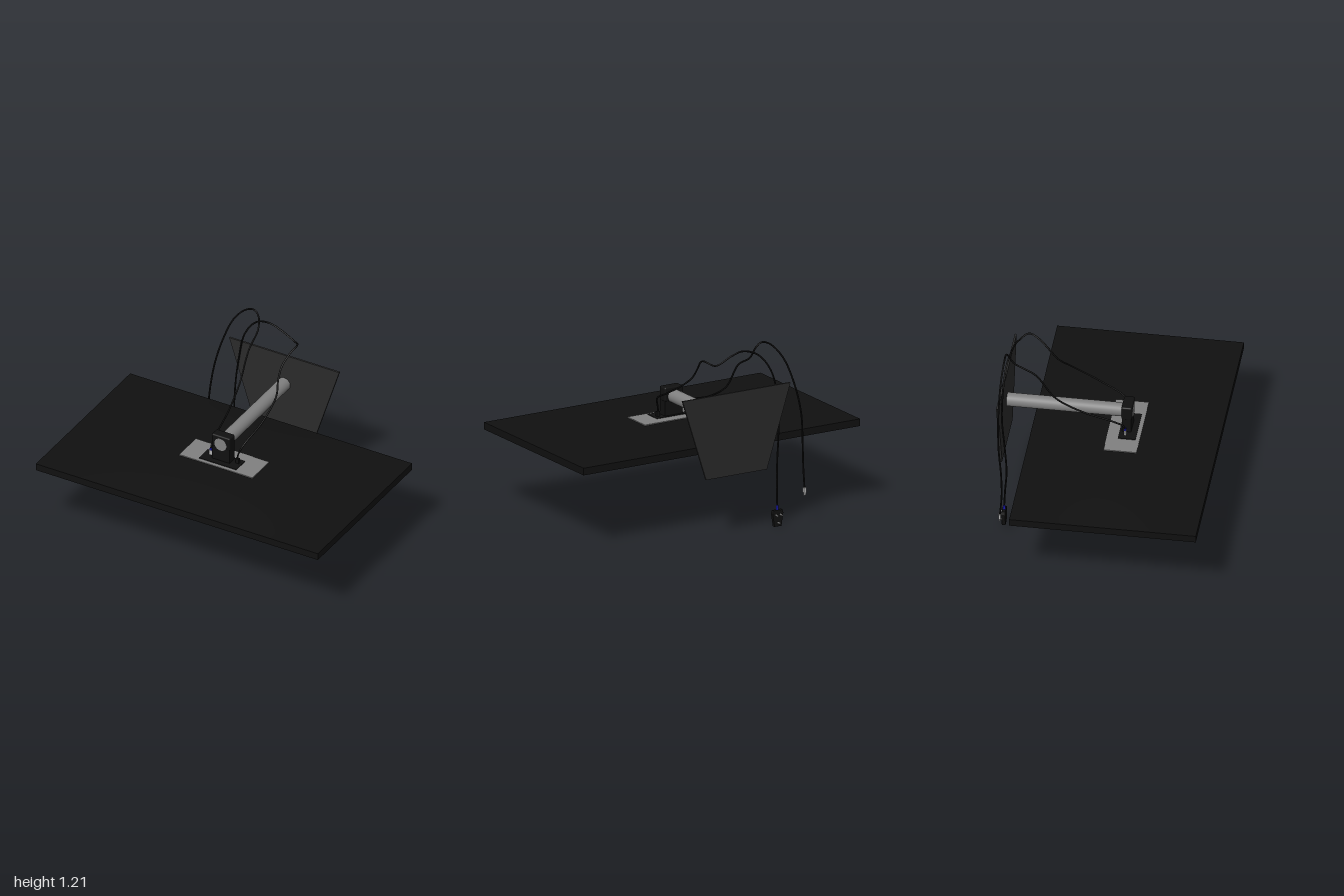
import * as THREE from 'three';
import { RoundedBoxGeometry } from 'three/addons/geometries/RoundedBoxGeometry.js';

const mat = (color) => new THREE.MeshStandardMaterial({ color });
const black = mat(0x101010), charcoal = mat(0x2a2a2a), grey = mat(0x808080);
const screenGrey = mat(0x777777), silver = mat(0xb5b5b5), blue = mat(0x1a1ab0);

export function createModel() {
  const model = new THREE.Group();

  const add = (name, geometry, material, x = 0, y = 0, z = 0, parent = model) => {
    const mesh = new THREE.Mesh(geometry, material);
    mesh.name = name;
    mesh.position.set(x, y, z);
    parent.add(mesh);
    return mesh;
  };
  const box = (name, material, w, h, d, x, y, z, parent) =>
    add(name, new THREE.BoxGeometry(w, h, d), material, x, y, z, parent);
  const rounded = (name, material, w, h, d, r, x, y, z, parent) =>
    add(name, new RoundedBoxGeometry(w, h, d, 3, r), material, x, y, z, parent);
  const rect = (path, x0, y0, x1, y1) => {
    path.moveTo(x0, y0);
    path.lineTo(x1, y0);
    path.lineTo(x1, y1);
    path.lineTo(x0, y1);
    path.closePath();
    return path;
  };

  // Display lying face down
  const display = new THREE.Group();
  display.name = 'display';
  model.add(display);
  const W = 2, D = 1.16, CZ = 0.085;

  // Housing with a gently domed back
  const housing = new THREE.BoxGeometry(W, 0.035, D, 32, 1, 20);
  const p = housing.attributes.position;
  for (let i = 0; i < p.count; i++) {
    if (p.getY(i) < 0) continue;
    const u = p.getX(i) / (W / 2), v = p.getZ(i) / (D / 2);
    p.setY(i, p.getY(i) + 0.036 * (1 - u * u) * (1 - v * v));
  }
  housing.computeVertexNormals();
  add('housing', housing, black, 0, 0.5285, CZ, display);

  // Frame around the recessed screen
  const frame = rect(new THREE.Shape(), -W / 2, -D / 2, W / 2, D / 2);
  frame.holes.push(rect(new THREE.Path(), -0.965, -0.545, 0.965, 0.545));
  const frameGeo = new THREE.ExtrudeGeometry(frame, { depth: 0.013, bevelEnabled: false });
  frameGeo.rotateX(Math.PI / 2);
  add('bezel', frameGeo, black, 0, 0.513, CZ, display);
  box('screen', screenGrey, 1.93, 0.006, 1.09, 0, 0.508, CZ, display);
  rounded('powerButton', black, 0.07, 0.012, 0.035, 0.005, 0.935, 0.5, -0.455, display);

  // Mount on the back of the display
  box('mountPlate', grey, 0.52, 0.02, 0.205, 0, 0.575, 0.083);
  box('mountFoot', black, 0.265, 0.01, 0.11, -0.002, 0.584, 0.106);
  box('post', black, 0.125, 0.16, 0.058, 0, 0.655, 0.094);
  rounded('postHead', black, 0.13, 0.09, 0.066, 0.01, 0, 0.725, 0.095);

  // Arm
  const arm = new THREE.CylinderGeometry(0.043, 0.043, 0.787, 32);
  arm.rotateX(Math.PI / 2);
  add('arm', arm, grey, 0, 0.71, -0.264);

  // Tapered stand base
  const base = new THREE.Shape();
  base.moveTo(-0.22, 0.39);
  base.lineTo(0.22, 0.39);
  base.lineTo(0.39, 0.92);
  base.lineTo(-0.39, 0.92);
  base.closePath();
  add('standBase', new THREE.ExtrudeGeometry(base, { depth: 0.012, bevelEnabled: false }),
    charcoal, 0, 0, -0.667);

  // Cables
  const cable = (name, points) => {
    const curve = new THREE.CatmullRomCurve3(points.map((q) => new THREE.Vector3(...q)));
    add(name, new THREE.TubeGeometry(curve, 140, 0.0055, 8), black);
  };
  cable('powerCable', [
    [0.1, 0.6, 0.09], [0.1, 0.64, 0.088], [0.125, 0.71, 0.06], [0.16, 0.79, -0.1],
    [0.16, 0.885, -0.28], [0.13, 0.95, -0.355], [0.125, 1.02, -0.41], [0.145, 1.085, -0.48],
    [0.157, 1.11, -0.545], [0.11, 1.087, -0.598], [0, 1.135, -0.608], [-0.08, 1.155, -0.612],
    [-0.18, 1.12, -0.63], [-0.27, 1, -0.64], [-0.315, 0.8, -0.642], [-0.33, 0.58, -0.622],
    [-0.328, 0.4, -0.611], [-0.32, 0.24, -0.622], [-0.318, 0.1, -0.628],
  ]);
  cable('dataCable', [
    [-0.09, 0.62, 0.09], [-0.092, 0.65, 0.08], [-0.1, 0.69, 0], [-0.115, 0.75, -0.17],
    [-0.132, 0.85, -0.335], [-0.14, 1.02, -0.46], [-0.147, 1.1, -0.59], [-0.165, 1.17, -0.625],
    [-0.2, 1.2, -0.634], [-0.26, 1.18, -0.638], [-0.35, 1.08, -0.645], [-0.43, 0.9, -0.647],
    [-0.485, 0.7, -0.638], [-0.508, 0.5, -0.618], [-0.515, 0.35, -0.614], [-0.518, 0.2, -0.625],
  ]);

  // Connectors at the display
  box('dataConnector', silver, 0.022, 0.035, 0.014, -0.09, 0.603, 0.09);
  box('dataConnectorCap', blue, 0.014, 0.014, 0.012, -0.09, 0.627, 0.09);
  box('powerConnector', black, 0.024, 0.035, 0.018, 0.1, 0.603, 0.09);

  // Free connector of the data cable
  box('dataPlug', silver, 0.02, 0.03, 0.014, -0.518, 0.2, -0.625);
  box('dataPlugTip', silver, 0.014, 0.022, 0.008, -0.518, 0.177, -0.625);

  // Wall plug with pins
  const plug = new THREE.Group();
  plug.name = 'wallPlug';
  plug.position.set(-0.318, 0, -0.627);
  model.add(plug);
  const body = new THREE.Shape();
  [[-0.023, 0.003], [0.023, 0.003], [0.036, 0.085], [0.03, 0.102], [-0.03, 0.102], [-0.036, 0.085]]
    .forEach(([x, y], i) => (i ? body.lineTo(x, y) : body.moveTo(x, y)));
  add('plugBody', new THREE.ExtrudeGeometry(body, {
    depth: 0.016, bevelThickness: 0.004, bevelSize: 0.003, bevelSegments: 2,
  }), black, 0, 0, -0.008, plug);
  add('strainRelief', new THREE.CylinderGeometry(0.007, 0.008, 0.032, 12), blue, 0, 0.118, 0, plug);
  for (const [x, y] of [[-0.016, 0.075], [0.016, 0.075], [0, 0.025]]) {
    const pin = new THREE.CylinderGeometry(0.005, 0.005, 0.024, 10);
    pin.rotateX(Math.PI / 2);
    add('plugPin', pin, silver, x, y, -0.021, plug);
  }

  return model;
}
